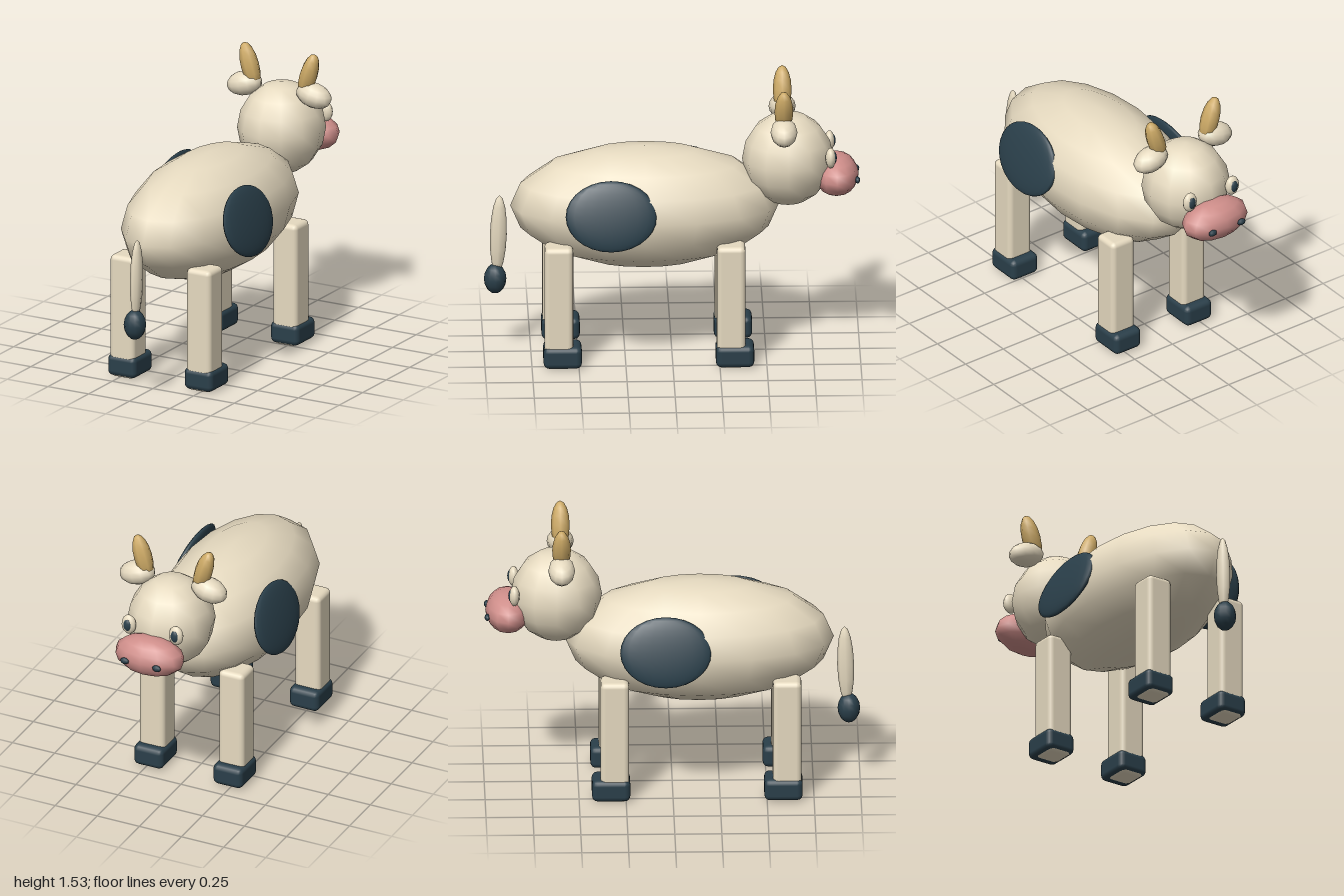
import * as THREE from 'three';
import { RoundedBoxGeometry } from 'three/addons/geometries/RoundedBoxGeometry.js';

const cream = new THREE.MeshStandardMaterial({ color: 0xe6dac0 });
const dark = new THREE.MeshStandardMaterial({ color: 0x2a3f4a });
const pink = new THREE.MeshStandardMaterial({ color: 0xcf8e8a });
const tan = new THREE.MeshStandardMaterial({ color: 0xcdaa66 });

export function createModel() {
  const cow = new THREE.Group();
  cow.name = 'cow';

  // Smooth ellipsoid, optionally rotated
  function ellipsoid(name, material, center, radii, [w, h] = [12, 8], rotation = [0, 0, 0]) {
    const mesh = new THREE.Mesh(new THREE.SphereGeometry(1, w, h), material);
    mesh.name = name;
    mesh.position.set(...center);
    mesh.scale.set(...radii);
    mesh.rotation.set(...rotation);
    cow.add(mesh);
  }

  // Box with softened edges, standing on a base height
  function roundedBox(name, material, [x, base, z], [w, h, d], radius) {
    const mesh = new THREE.Mesh(new RoundedBoxGeometry(w, h, d, 2, radius), material);
    mesh.name = name;
    mesh.position.set(x, base + h / 2, z);
    cow.add(mesh);
  }

  // Torso, head and muzzle
  ellipsoid('body', cream, [0, 0.825, 0.145], [0.36, 0.332, 0.715], [16, 8]);
  ellipsoid('head', cream, [0, 1.08, -0.617], [0.235, 0.254, 0.243], [12, 8]);
  ellipsoid('muzzle', pink, [0, 0.99, -0.875], [0.2, 0.11, 0.12], [12, 8]);

  // Tail hanging behind, with a dark tuft
  ellipsoid('tail', cream, [0, 0.66, 0.923], [0.032, 0.22, 0.045], [8, 8], [-0.03, 0, 0]);
  ellipsoid('tailTuft', dark, [0, 0.412, 0.94], [0.06, 0.082, 0.06], [12, 8]);

  for (const [side, s] of [['left', 1], ['right', -1]]) {
    // Face details
    ellipsoid(`${side}Eye`, cream, [s * 0.14, 1.125, -0.842], [0.042, 0.056, 0.028]);
    ellipsoid(`${side}Pupil`, dark, [s * 0.14, 1.127, -0.859], [0.024, 0.035, 0.016]);
    ellipsoid(`${side}Nostril`, dark, [s * 0.095, 0.985, -0.986], [0.026, 0.018, 0.014], [8, 6]);

    // Drooping ears and horns leaning outward
    ellipsoid(`${side}Ear`, cream, [s * 0.213, 1.297, -0.592], [0.104, 0.066, 0.072], [12, 8], [0, 0, -s * 0.25]);
    ellipsoid(`${side}Horn`, tan, [s * 0.18, 1.402, -0.592], [0.05, 0.129, 0.05], [8, 8], [0, 0, -s * 0.3]);

    // Flank spot, staggered along the body
    ellipsoid(`${side}Spot`, dark, [s * 0.341, 0.875, s > 0 ? 0.33 : -0.04], [0.036, 0.19, 0.243], [20, 14], [0, 0, s * 0.29]);

    // Legs with hooves set slightly forward
    for (const [end, z] of [['front', -0.31], ['hind', 0.607]]) {
      roundedBox(`${side}${end}Leg`, cream, [s * 0.235, 0, z], [0.15, 0.68, 0.152], 0.028);
      roundedBox(`${side}${end}Hoof`, dark, [s * 0.235, 0.005, z - 0.02], [0.174, 0.12, 0.204], 0.03);
    }
  }
  return cow;
}
